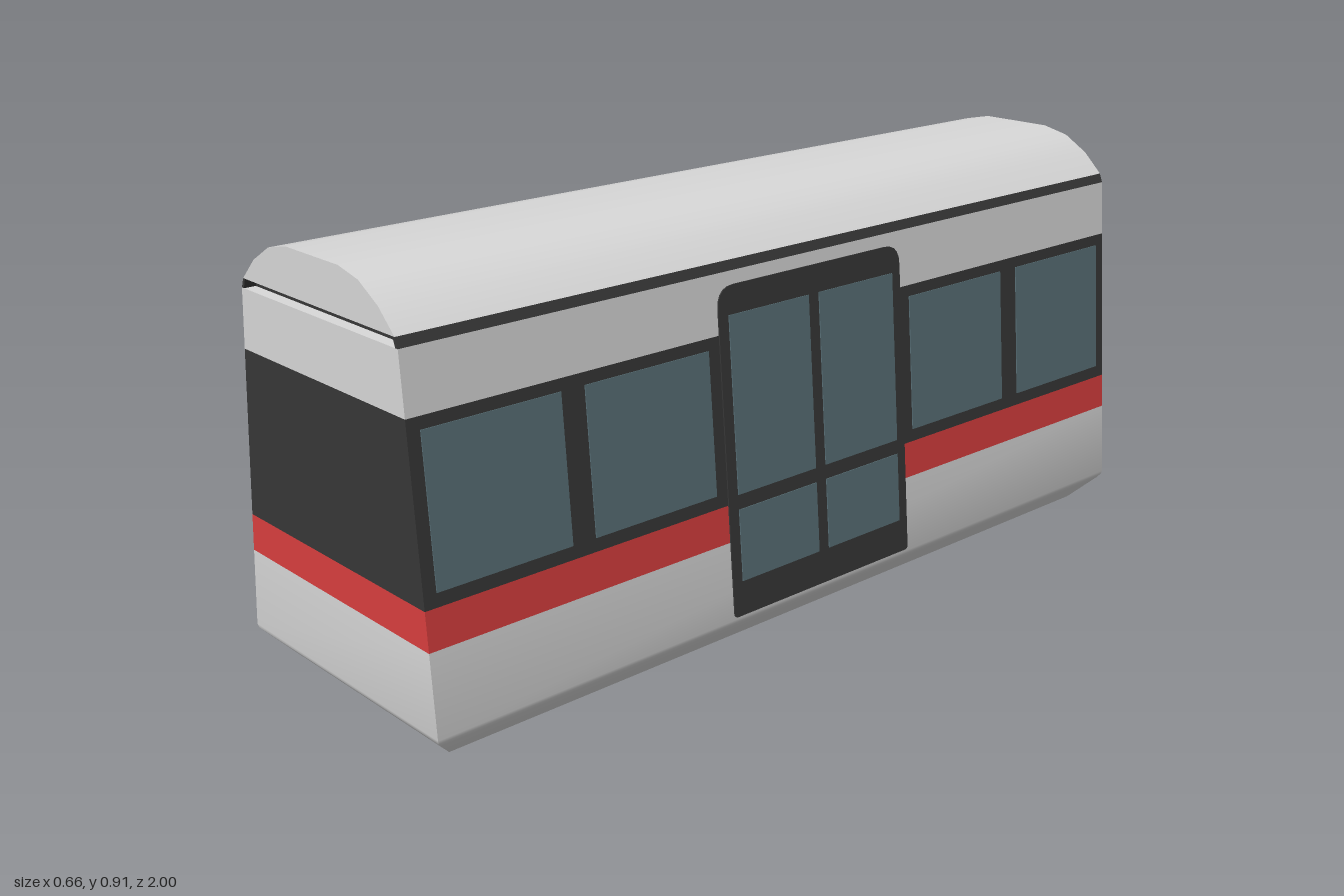
import * as THREE from 'three';
import { toCreasedNormals } from 'three/addons/utils/BufferGeometryUtils.js';

const paint = (name, color, extra = {}) => Object.assign(new THREE.MeshStandardMaterial({ color }), { name }, extra);

// Straight wall leaning inwards
const WALL_X = 0.328, WALL_Y = 0.07, LEAN = 0.0795;
const wallX = (y) => WALL_X - (y - WALL_Y) * LEAN;

// Rectangular rings [halfX, halfZ, y] joined bottom to top, closed with caps
function loft(rings) {
  const pos = [];
  const corners = ([x, z, y]) => [[x, y, z], [x, y, -z], [-x, y, -z], [-x, y, z]];
  const quad = (a, b, c, d) => pos.push(...a, ...b, ...c, ...a, ...c, ...d);
  for (let i = 0; i < rings.length - 1; i++) {
    const lo = corners(rings[i]), hi = corners(rings[i + 1]);
    for (let k = 0; k < 4; k++) {
      const n = (k + 1) % 4;
      quad(lo[k], lo[n], hi[n], hi[k]);
    }
  }
  const top = corners(rings[rings.length - 1]), bottom = corners(rings[0]);
  quad(top[0], top[1], top[2], top[3]);
  quad(bottom[3], bottom[2], bottom[1], bottom[0]);
  const geo = new THREE.BufferGeometry();
  geo.setAttribute('position', new THREE.Float32BufferAttribute(pos, 3));
  return toCreasedNormals(geo, 0.6);
}

// Outline between two corners, with separate top and bottom corner radii
function panelShape(x0, x1, y0, y1, rTop = 0, rBottom = 0) {
  const s = new THREE.Shape();
  s.moveTo(x0 + rBottom, y0);
  s.lineTo(x1 - rBottom, y0);
  if (rBottom) s.quadraticCurveTo(x1, y0, x1, y0 + rBottom);
  s.lineTo(x1, y1 - rTop);
  if (rTop) s.quadraticCurveTo(x1, y1, x1 - rTop, y1);
  s.lineTo(x0 + rTop, y1);
  if (rTop) s.quadraticCurveTo(x0, y1, x0, y1 - rTop);
  s.lineTo(x0, y0 + rBottom);
  if (rBottom) s.quadraticCurveTo(x0, y0, x0 + rBottom, y0);
  return s;
}

export function createModel() {
  const model = new THREE.Group();
  model.name = 'railCar';
  const grey = paint('lightGrey', 0xd8d8d8);
  const red = paint('red', 0xd93f3e);
  const dark = paint('charcoal', 0x373737);
  const glass = paint('glass', 0x597077);

  const add = (parent, name, geo, mat) => {
    const mesh = new THREE.Mesh(geo, mat);
    mesh.name = name;
    parent.add(mesh);
    return mesh;
  };
  const ring = (y) => [wallX(y), 1, y];

  // Body in horizontal colour bands
  add(model, 'lowerBody', loft([
    [0.27, 0.94, 0], [0.32, 0.99, 0.053], [0.326, 0.998, 0.062], ring(0.07), ring(0.24),
  ]), grey);
  add(model, 'redStripe', loft([ring(0.24), ring(0.32)]), red);
  add(model, 'windowBand', loft([ring(0.32), ring(0.675)]), dark);
  add(model, 'upperBody', loft([ring(0.675), ring(0.8)]), grey);

  // Dark groove under the roof: recessed at the ends, flush along the sides
  add(model, 'roofGroove', loft([[0.268, 0.975, 0.8], [0.26, 0.975, 0.82]]), dark);
  const gutter = new THREE.Shape([
    [0.262, 0.8], [0.27, 0.8], [0.262, 0.82], [0.255, 0.82],
  ].map(([x, y]) => new THREE.Vector2(x, y)));
  for (const turn of [0, Math.PI]) {
    const geo = new THREE.ExtrudeGeometry(gutter, { depth: 2, bevelEnabled: false });
    add(model, 'roofGutter', geo.translate(0, 0, -1).rotateY(turn), dark);
  }

  // Curved roof
  const half = [[0.262, 0.82], [0.215, 0.865], [0.155, 0.9], [0.09, 0.914]];
  const outline = [...half, ...half.map(([x, y]) => [-x, y]).reverse()];
  const roof = new THREE.ExtrudeGeometry(
    new THREE.Shape(outline.map(([x, y]) => new THREE.Vector2(x, y))),
    { depth: 2, bevelEnabled: false });
  add(model, 'roof', toCreasedNormals(roof.translate(0, 0, -1), 0.6), grey);

  // Doors and windows laid on each leaning wall
  const tilt = Math.atan(LEAN);
  const up = (y) => (y - WALL_Y) / Math.cos(tilt);
  for (const side of ['left', 'right']) {
    const wall = new THREE.Group();
    wall.name = side + 'Wall';
    wall.rotation.y = side === 'left' ? 0 : Math.PI;
    const lean = new THREE.Group();
    lean.position.set(WALL_X, WALL_Y, 0);
    lean.rotation.z = tilt;
    wall.add(lean);
    model.add(wall);

    const plate = (name, mat, lift, x0, x1, y0, y1, rTop, rBottom) => {
      const shape = panelShape(x0, x1, up(y0), up(y1), rTop, rBottom);
      const geo = new THREE.ExtrudeGeometry(shape, { depth: lift + 0.002, bevelEnabled: false, curveSegments: 5 });
      add(lean, name, geo.translate(0, 0, -0.002).rotateY(Math.PI / 2), mat);
    };

    plate('doorFrame', dark, 0.003, -0.266, 0.266, 0.075, 0.772, 0.045, 0.01);
    for (const s of [-1, 1]) {
      const pane = (name, lift, near, far, y0, y1) =>
        plate(name, glass, lift, Math.min(s * near, s * far), Math.max(s * near, s * far), y0, y1);
      pane('upperDoorWindow', 0.005, 0.015, 0.24, 0.337, 0.712);
      pane('lowerDoorWindow', 0.005, 0.015, 0.24, 0.15, 0.305);
      pane('innerWindow', 0.002, 0.296, 0.608, 0.348, 0.65);
      pane('outerWindow', 0.002, 0.664, 0.972, 0.348, 0.65);
    }
  }
  return model;
}
